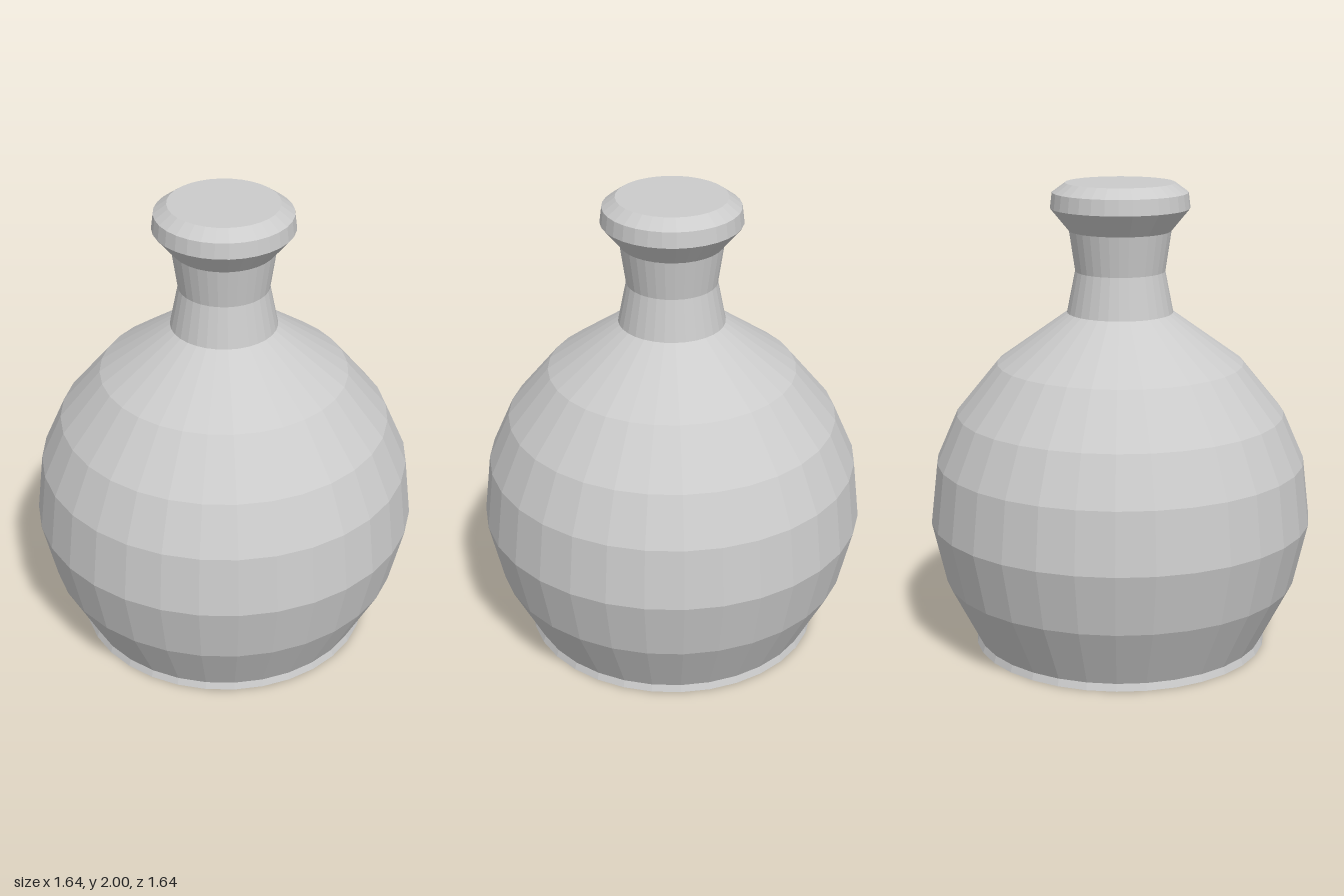
import * as THREE from 'three';

const SIDES = 32;

// Turned part from [radius, height] pairs, listed bottom to top
function turned(name, profile, material) {
  const points = profile.map(([r, y]) => new THREE.Vector2(r, y));
  const mesh = new THREE.Mesh(new THREE.LatheGeometry(points, SIDES), material);
  mesh.name = name;
  return mesh;
}

export function createModel() {
  const group = new THREE.Group();
  group.name = 'bottle';
  const material = new THREE.MeshStandardMaterial({
    color: 0xcccccc, flatShading: true, side: THREE.DoubleSide,
  });

  // Round belly with a closed flat underside and a narrow foot band
  group.add(turned('body', [
    [0, 0], [0.635, 0], [0.625, 0.03], [0.76, 0.295], [0.82, 0.56],
    [0.79, 0.82], [0.7, 1.025], [0.525, 1.24], [0.225, 1.455],
  ], material));

  // Waisted neck
  group.add(turned('neck', [[0.225, 1.455], [0.19, 1.63], [0.215, 1.8]], material));

  // Flared lip with a bevelled, closed top
  group.add(turned('lip', [
    [0.215, 1.8], [0.293, 1.895], [0.285, 1.96], [0.23, 2], [0, 2],
  ], material));

  return group;
}
